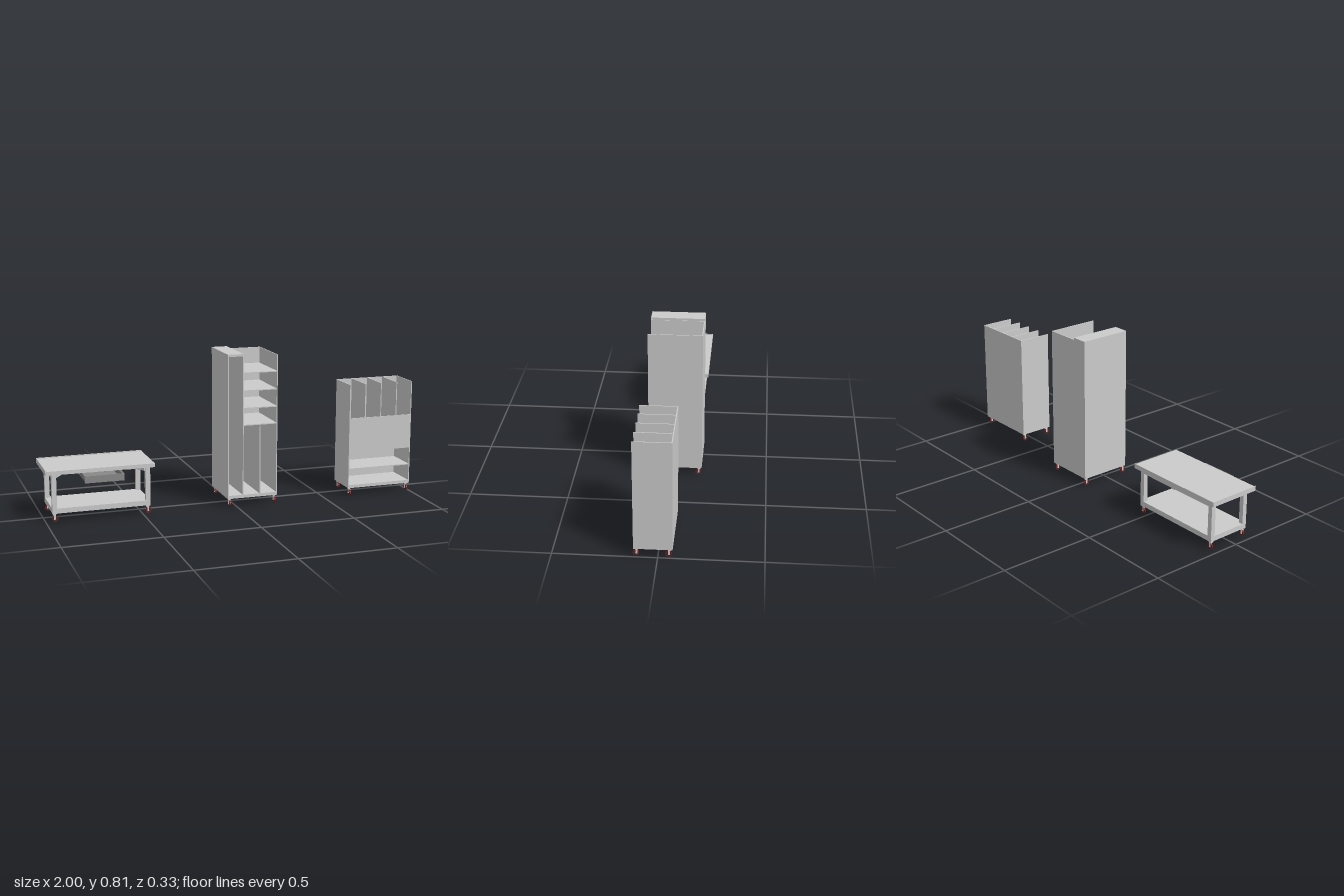
import * as THREE from 'three';

const paint = (color, side = THREE.FrontSide) =>
  new THREE.MeshStandardMaterial({ color, side });
const grey = paint(0xcccccc);
const dark = paint(0x888888);
const red = paint(0x990f12);
const black = paint(0x333333);
const T = 0.005; // sheet thickness

// Box given by its two extreme corners
function box(parent, name, [x0, x1], [y0, y1], [z0, z1], material = grey) {
  const mesh = new THREE.Mesh(new THREE.BoxGeometry(x1 - x0, y1 - y0, z1 - z0), material);
  mesh.position.set((x0 + x1) / 2, (y0 + y1) / 2, (z0 + z1) / 2);
  mesh.name = name;
  parent.add(mesh);
  return mesh;
}

// Horizontal bar between two points in plan
function bar(parent, name, [xa, za], [xb, zb], [y0, y1], width) {
  const mesh = new THREE.Mesh(
    new THREE.BoxGeometry(Math.hypot(xb - xa, zb - za), y1 - y0, width), grey);
  mesh.position.set((xa + xb) / 2, (y0 + y1) / 2, (za + zb) / 2);
  mesh.rotation.y = -Math.atan2(zb - za, xb - xa);
  mesh.name = name;
  parent.add(mesh);
}

// Swivel caster rolling along z, its plate reaching y = 0.043
function caster(x, z, turn) {
  const group = new THREE.Group();
  group.name = 'caster';
  const wheel = (name, radius, width, material) => {
    const mesh = new THREE.Mesh(new THREE.CylinderGeometry(radius, radius, width, 24), material);
    mesh.rotation.z = Math.PI / 2;
    mesh.position.set(0, 0.0155, 0.003);
    mesh.name = name;
    group.add(mesh);
  };
  wheel('tyre', 0.0155, 0.006, red);
  wheel('wheelDisc', 0.0125, 0.0068, black);
  wheel('axle', 0.003, 0.012, grey);
  for (const s of [-1, 1]) {
    const cheek = box(group, 'forkCheek', [-0.0008, 0.0008], [0.012, 0.036], [-0.004, 0.005]);
    cheek.position.x = s * 0.0048;
  }
  box(group, 'forkCrown', [-0.0056, 0.0056], [0.034, 0.037], [-0.008, 0.006]);
  const stem = new THREE.Mesh(new THREE.CylinderGeometry(0.005, 0.005, 0.005, 16), grey);
  stem.position.y = 0.0395;
  stem.name = 'swivel';
  group.add(stem);
  box(group, 'mountingPlate', [-0.009, 0.009], [0.041, 0.043], [-0.009, 0.009]);
  group.position.set(x, 0, z);
  group.rotation.y = turn;
  return group;
}

function addCasters(group, xs, zs, turn = 0) {
  for (const x of xs) for (const z of zs) group.add(caster(x, z, turn));
}

// Floor plate with joists running across below it
function cabinetFloor(group, xr, zr, joists) {
  box(group, 'floor', xr, [0.055, 0.06], zr);
  box(group, 'frontSill', xr, [0.043, 0.055], [zr[1] - T, zr[1]]);
  box(group, 'backSill', xr, [0.043, 0.055], [zr[0], zr[0] + T]);
  for (const z of joists) box(group, 'floorJoist', xr, [0.043, 0.055], [z - 0.0025, z + 0.0025]);
}

function workbench() {
  const g = new THREE.Group();
  g.name = 'workbench';
  const legX = [-0.955, -0.472], legZ = [-0.125, 0.085], h = 0.012;
  // Top with raised lips on its left and back edges
  box(g, 'benchTop', [-0.996, -0.44], [0.25, 0.27], [-0.159, 0.118]);
  box(g, 'endLip', [-1, -0.996], [0.25, 0.275], [-0.163, 0.118]);
  box(g, 'backLip', [-0.996, -0.44], [0.25, 0.275], [-0.163, -0.159]);
  for (const x of legX) for (const z of legZ) {
    box(g, 'leg', [x - h, x + h], [0.043, 0.25], [z - h, z + h]);
  }
  // End rails above and below, long rails and shelf
  for (const x of legX) {
    box(g, 'lowerEndRail', [x - h, x + h], [0.045, 0.068], [legZ[0] + h, legZ[1] - h]);
    box(g, 'upperEndRail', [x - h, x + h], [0.226, 0.25], [legZ[0] + h, legZ[1] - h]);
  }
  for (const z of legZ) {
    box(g, 'lowerLongRail', [legX[0] + h, legX[1] - h], [0.045, 0.068], [z - h, z + h]);
  }
  box(g, 'upperBackRail', [legX[0] + h, legX[1] - h], [0.226, 0.25], [legZ[0] - h, legZ[0] + h]);
  box(g, 'lowerShelf', [legX[0] - h, legX[1] + h], [0.066, 0.071], [legZ[0] - h, legZ[1] + h]);
  // Cross bars below the shelf and the top
  for (let i = 1; i < 5; i++) {
    const x = THREE.MathUtils.lerp(legX[0], legX[1], i / 5);
    box(g, 'shelfCrossBar', [x - 0.008, x + 0.008], [0.048, 0.066], [legZ[0] + h, legZ[1] - h]);
    box(g, 'topCrossBar', [x - 0.008, x + 0.008], [0.243, 0.25], [legZ[0] + h, legZ[1] + h]);
  }
  // Diagonal braces from the front legs to the back rail
  bar(g, 'brace', [-0.945, 0.08], [-0.82, -0.113], [0.226, 0.243], 0.014);
  bar(g, 'brace', [-0.482, 0.08], [-0.607, -0.113], [0.226, 0.243], 0.014);
  // Drawer, pulled out a little
  const d = new THREE.Group();
  d.name = 'drawer';
  g.add(d);
  box(d, 'drawerFront', [-0.812, -0.61], [0.207, 0.243], [0.158, 0.164], dark);
  box(d, 'drawerBack', [-0.805, -0.617], [0.209, 0.24], [-0.03, -0.026], dark);
  box(d, 'drawerFloor', [-0.805, -0.617], [0.207, 0.211], [-0.03, 0.158], dark);
  for (const x of [-0.805, -0.621]) {
    box(d, 'drawerSide', [x, x + 0.004], [0.209, 0.241], [-0.03, 0.158], dark);
  }
  for (const x of [-0.812, -0.617]) {
    box(d, 'drawerRunner', [x, x + 0.007], [0.222, 0.243], [-0.1, 0.15], dark);
  }
  addCasters(g, legX, legZ, Math.PI / 2);
  return g;
}

function tallCabinet() {
  const g = new THREE.Group();
  g.name = 'tallCabinet';
  const z = [-0.163, 0.113], inZ = [z[0] + T, z[1]], y = [0.043, 0.795];
  box(g, 'backPanel', [-0.047, 0.225], y, [z[0], inZ[0]]);
  box(g, 'rightWall', [-0.047, -0.047 + T], y, inZ);
  box(g, 'leftWall', [0.225 - T, 0.225], y, inZ);
  box(g, 'columnDivider', [0.034, 0.039], [0.06, 0.795], inZ);
  box(g, 'columnLid', [-0.047, 0.037], [0.795, 0.807], z);
  cabinetFloor(g, [-0.042, 0.22], inZ, [0.072, 0.025, -0.022, -0.07, -0.118]);
  for (const top of [0.435, 0.525, 0.617, 0.71]) {
    box(g, 'shelf', [0.039, 0.22], [top - T, top], inZ);
  }
  box(g, 'lowerDivider', [0.127, 0.132], [0.06, 0.43], inZ);
  addCasters(g, [-0.035, 0.213], [-0.148, 0.1]);
  return g;
}

function sheetCabinet() {
  const g = new THREE.Group();
  g.name = 'sheetCabinet';
  const z = [-0.07, 0.115], inZ = [z[0] + T, z[1]], y = [0.043, 0.61];
  box(g, 'backPanel', [0.635, 0.998], y, [z[0], inZ[0]]);
  box(g, 'rightWall', [0.635, 0.635 + T], y, inZ);
  box(g, 'leftWall', [0.998 - T, 0.998], y, inZ);
  cabinetFloor(g, [0.64, 0.993], inZ, [0.072, 0.025, -0.022]);
  box(g, 'shelf', [0.64, 0.993], [0.147, 0.152], inZ);
  // Deep bins, open above, behind a half-height front
  box(g, 'binFloor', [0.64, 0.993], [0.243, 0.248], inZ);
  box(g, 'binFront', [0.64, 0.993], [0.248, 0.428], [z[1] - T, z[1]]);
  for (let i = 1; i < 4; i++) {
    const x = 0.635 + i * 0.0907;
    box(g, 'binDivider', [x - T / 2, x + T / 2], [0.248, 0.61], [inZ[0], z[1] - T]);
    box(g, 'binDividerEdge', [x - T / 2, x + T / 2], [0.428, 0.61], [z[1] - T, z[1]]);
  }
  addCasters(g, [0.648, 0.985], [-0.053, 0.1]);
  return g;
}

export function createModel() {
  const model = new THREE.Group();
  model.name = 'workshopFurniture';
  model.add(workbench(), tallCabinet(), sheetCabinet());
  return model;
}
